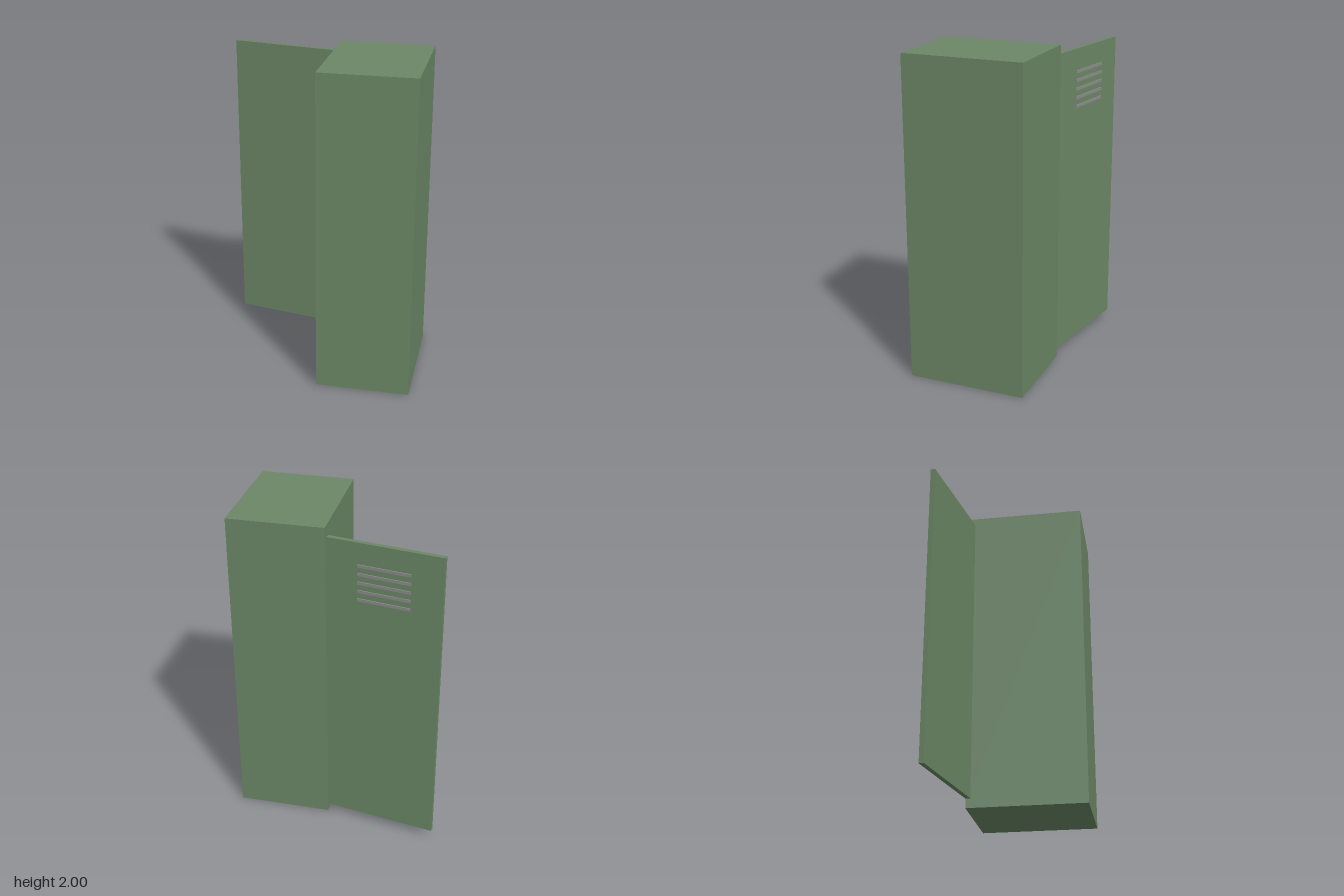
import * as THREE from 'three';

export function createModel() {
  const model = new THREE.Group();
  model.name = 'locker';

  const green = new THREE.MeshStandardMaterial({ color: 0x6b8766 });
  green.name = 'green paint';
  const grey = new THREE.MeshStandardMaterial({ color: 0x8c8c8c });
  grey.name = 'grey metal';

  const addBox = (parent, name, material, size, position) => {
    const mesh = new THREE.Mesh(new THREE.BoxGeometry(...size), material);
    mesh.name = name;
    mesh.position.set(...position);
    parent.add(mesh);
    return mesh;
  };

  // Cabinet body
  addBox(model, 'cabinet', green, [0.578, 2, 0.735], [0.347, 1, 0.057]);

  // Door, swung open about its upright edge
  const door = new THREE.Group();
  door.name = 'door';
  door.position.set(-0.294, 1, -0.353);
  door.rotation.y = -THREE.MathUtils.degToRad(10);
  model.add(door);
  addBox(door, 'doorPanel', green, [0.693, 1.89, 0.029], [0, 0, 0]);

  // Vent slats near the top of the door's outer face
  for (let i = 0; i < 5; i++) {
    addBox(door, 'ventSlat', grey, [0.318, 0.018, 0.012], [0, 0.593 + i * 0.053, -0.0145]);
  }

  return model;
}
